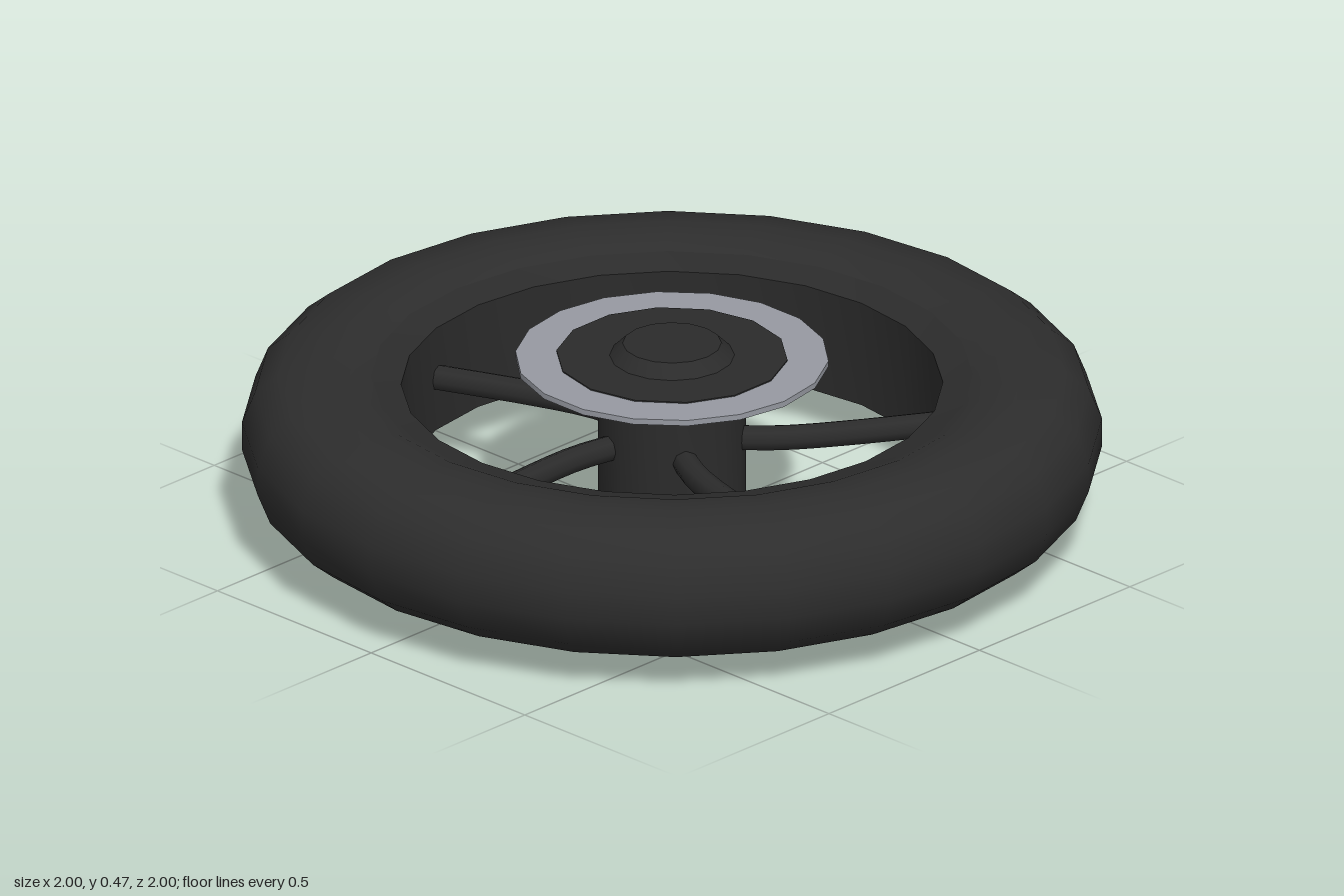
import * as THREE from 'three';
import { toCreasedNormals } from 'three/addons/utils/BufferGeometryUtils.js';

const mat = (name, color) => {
  const m = new THREE.MeshStandardMaterial({ color });
  m.name = name;
  return m;
};

export function createModel() {
  const wheel = new THREE.Group();
  wheel.name = 'wheel';
  const rubber = mat('black rubber', 0x2d2d2d);
  const metal = mat('dark metal', 0x2b2b2b);
  const steel = mat('brake steel', 0x9699a1);

  // Turned part from a [radius, height] profile, creased at sharp corners
  const turned = (name, profile, sides, material, turn = 0) => {
    const points = profile.map(([r, y]) => new THREE.Vector2(r, y));
    const geometry = toCreasedNormals(new THREE.LatheGeometry(points, sides), 0.6);
    const mesh = new THREE.Mesh(geometry, material);
    mesh.name = name;
    mesh.rotation.y = turn;
    wheel.add(mesh);
  };

  // Tyre: lower half of the section, mirrored about the mid height
  const mid = 0.235;
  const lower = [[0.7, 0.085], [0.74, 0.067], [0.82, 0.062], [0.915, 0.08], [0.97, 0.125], [1, 0.2]];
  const upper = lower.map(([r, y]) => [r, 2 * mid - y]).reverse();
  turned('tyre', [...lower, ...upper], 24, rubber);

  // Rim with lips on both sides
  turned('rim', [[0.7, 0.385], [0.63, 0.365], [0.63, 0.105], [0.7, 0.085]], 24, metal);

  // Hub with chamfered ends
  turned('hub', [[0, 0], [0.115, 0], [0.172, 0.06], [0.172, 0.41], [0.115, 0.468], [0, 0.468]], 16, metal);

  // Brake disc and its dark carrier plate
  turned('brakeDisc', [[0.2, 0.42], [0.365, 0.42], [0.365, 0.434], [0.2, 0.434]], 18, steel, Math.PI / 18);
  turned('discCarrier', [[0.1, 0.417], [0.27, 0.417], [0.27, 0.437], [0.1, 0.437]], 14, metal);

  // Five swept spokes
  const curve = new THREE.CatmullRomCurve3(
    [[-0.04, 0.12], [-0.063, 0.25], [-0.062, 0.4], [-0.043, 0.65]]
      .map(([x, z]) => new THREE.Vector3(x, mid, z)));
  const spokeGeometry = new THREE.TubeGeometry(curve, 10, 0.031, 8);
  for (let i = 0; i < 5; i++) {
    const spoke = new THREE.Mesh(spokeGeometry, metal);
    spoke.name = 'spoke' + (i + 1);
    spoke.rotation.y = (i * Math.PI * 2) / 5;
    wheel.add(spoke);
  }
  return wheel;
}
